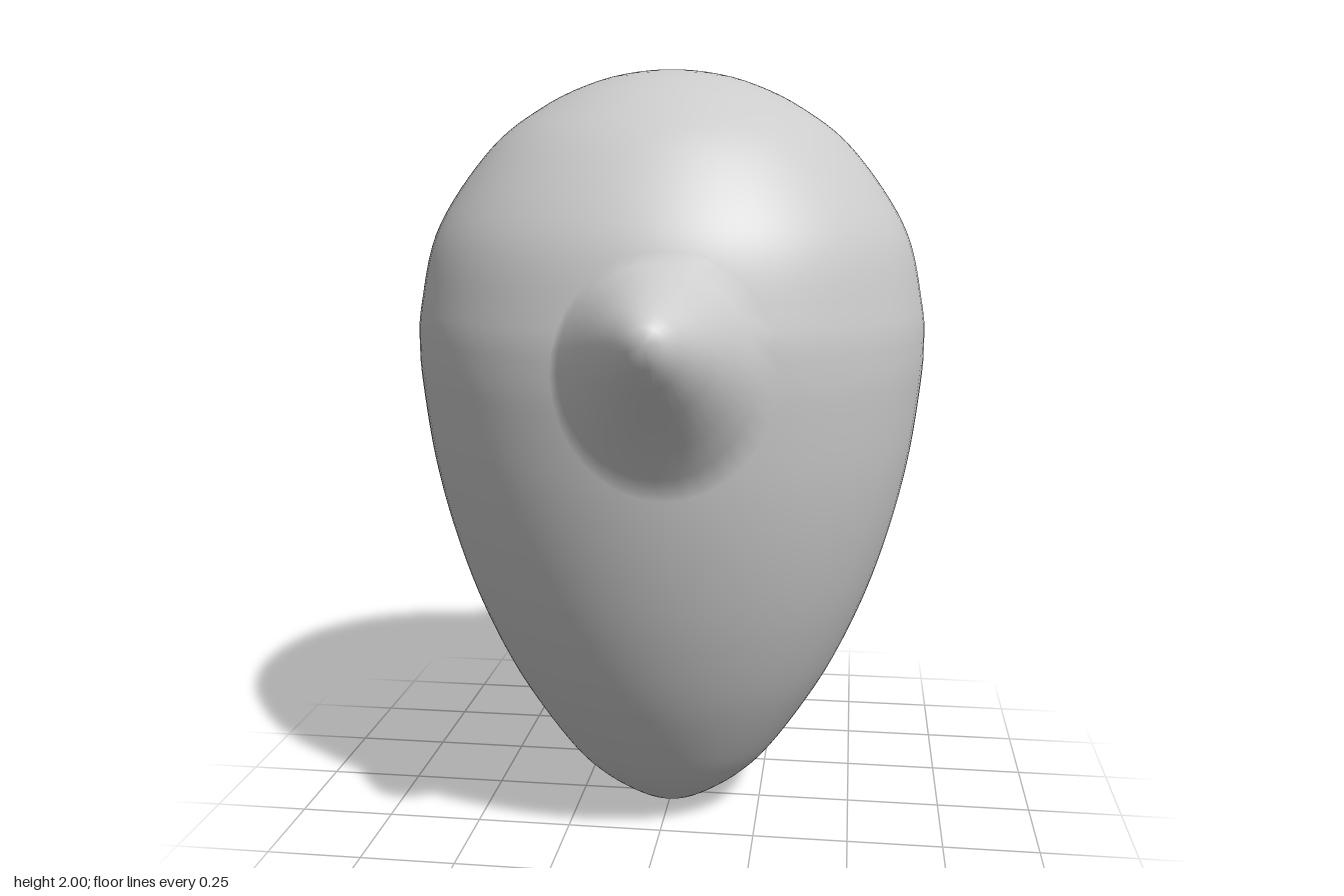
import * as THREE from 'three';

// Egg outline (radius, height), bottom to top
const outline = new THREE.SplineCurve([
  [0, 0], [0.045, 0.005], [0.1, 0.022], [0.21, 0.1], [0.302, 0.2], [0.43, 0.4], [0.523, 0.6],
  [0.59, 0.8], [0.636, 1.0], [0.662, 1.2], [0.667, 1.3], [0.66, 1.4], [0.609, 1.6], [0.47, 1.8],
  [0.33, 1.908], [0.2, 1.968], [0.09, 1.994], [0, 2],
].map(([r, y]) => new THREE.Vector2(r, y))).getSpacedPoints(80);

// Radius and vertical slope of the egg at a height
function eggAt(y) {
  const i = outline.findIndex((p) => p.y > y);
  const a = outline[i - 1], b = outline[i];
  const slope = (b.x - a.x) / (b.y - a.y);
  return { r: a.x + (y - a.y) * slope, slope };
}

// Nub cross-sections: z, bottom y, top y, left x, right x (z = null hugs the egg)
const SECTIONS = [
  [null, 1.0, 1.575, -0.2, 0.32],
  [0.655, 1.06, 1.545, -0.175, 0.27],
  [0.72, 1.14, 1.52, -0.125, 0.23],
  [0.80, 1.225, 1.487, -0.07, 0.185],
  [0.87, 1.3, 1.46, -0.015, 0.135],
  [0.905, 1.345, 1.435, 0.02, 0.1],
  [0.925, 1.4, 1.4, 0.06, 0.06],
];

// Upturned pointed nub lofted from elliptical rings; side is +1 front, -1 back
function nub(side) {
  const n = 32, pos = [], index = [], baseNormals = [];
  SECTIONS.forEach(([z, y0, y1, x0, x1], k) => {
    for (let j = 0; j < n; j++) {
      const a = (j / n) * Math.PI * 2;
      const x = (x0 + x1) / 2 + Math.cos(a) * (x1 - x0) / 2;
      const y = (y0 + y1) / 2 + Math.sin(a) * (y1 - y0) / 2;
      const { r, slope } = eggAt(y);
      const skin = Math.sqrt(r * r - x * x);
      // the second ring is bent part of the way towards the egg's curve
      const depth = z === null ? skin - 0.002 : k === 1 ? z * 0.6 + (skin + 0.045) * 0.4 : z;
      pos.push(x, y, side * depth);
      if (k === 0) baseNormals.push(new THREE.Vector3(x / r, -slope, side * skin / r).normalize());
      if (k > 0) {
        const j2 = (j + 1) % n, a0 = (k - 1) * n + j, b0 = (k - 1) * n + j2, a1 = k * n + j, b1 = k * n + j2;
        if (side > 0) index.push(a0, b0, b1, a0, b1, a1);
        else index.push(a0, b1, b0, a0, a1, b1);
      }
    }
  });
  const geo = new THREE.BufferGeometry();
  geo.setAttribute('position', new THREE.Float32BufferAttribute(pos, 3));
  geo.setIndex(index);
  geo.computeVertexNormals();
  // base ring shares the egg's normals for a soft join
  const normals = geo.attributes.normal;
  baseNormals.forEach((v, j) => normals.setXYZ(j, v.x, v.y, v.z));
  // the tip points straight out
  for (let j = 0; j < n; j++) normals.setXYZ((SECTIONS.length - 1) * n + j, 0, 0, side);
  return geo;
}

export function createModel() {
  const group = new THREE.Group();
  const material = new THREE.MeshStandardMaterial({ color: 0xcccccc });
  const add = (name, geo) => {
    const mesh = new THREE.Mesh(geo, material);
    mesh.name = name;
    group.add(mesh);
  };
  add('eggBody', new THREE.LatheGeometry(outline, 96));
  add('frontNub', nub(1));
  add('backNub', nub(-1));
  return group;
}
